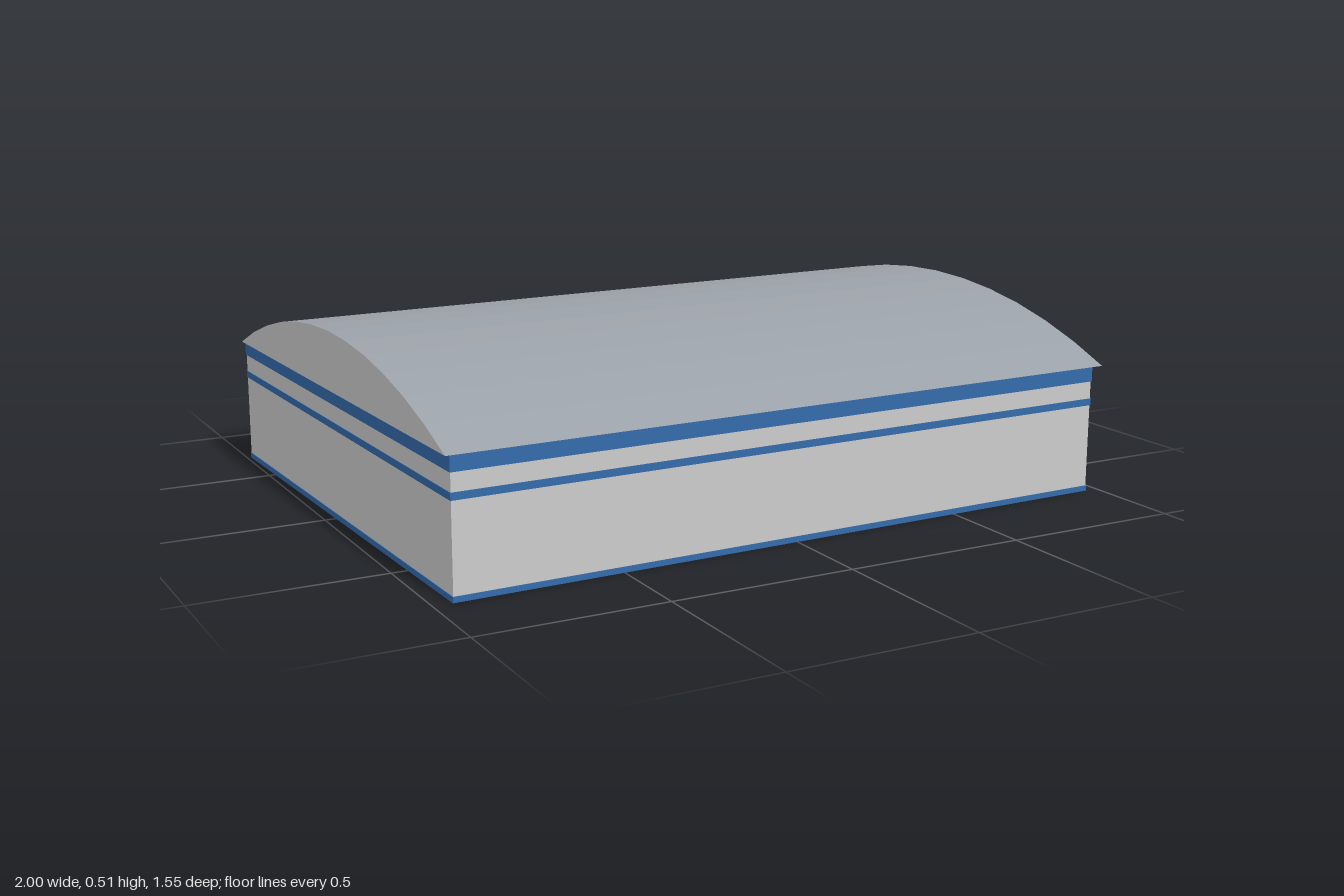
import * as THREE from 'three';

const wallPaint = new THREE.MeshStandardMaterial({ name: 'light grey wall', color: 0xcccccc });
const bluePaint = new THREE.MeshStandardMaterial({ name: 'blue stripe', color: 0x336bab });
const roofPaint = new THREE.MeshStandardMaterial({ name: 'roof grey', color: 0x9ba1a8 });
const ventPaint = new THREE.MeshStandardMaterial({ name: 'vent grey', color: 0x9c9c9c });

const X0 = -0.97, X1 = 0.945, HALF_DEPTH = 0.75; // wall footprint
const EAVE = 0.352, RISE = 0.16, HALF_ROOF = 0.98;
const THICK = 0.006;

function rectangle(PathType, inset) {
  const x0 = X0 + inset, x1 = X1 - inset, z = HALF_DEPTH - inset;
  const path = new PathType();
  path.moveTo(x0, -z).lineTo(x1, -z).lineTo(x1, z).lineTo(x0, z).closePath();
  return path;
}

// Rectangular ring running round the building between two heights
function ring(name, y0, y1, inset, thickness, material) {
  const shape = rectangle(THREE.Shape, inset);
  shape.holes.push(rectangle(THREE.Path, inset + thickness));
  const geo = new THREE.ExtrudeGeometry(shape, { depth: y1 - y0, bevelEnabled: false });
  geo.rotateX(-Math.PI / 2).translate(0, y0, 0);
  const mesh = new THREE.Mesh(geo, material);
  mesh.name = name;
  return mesh;
}

// Barrel roof: a circular segment extruded along the hall, with grey gables
function barrelRoof() {
  const radius = (HALF_DEPTH ** 2 + RISE ** 2) / (2 * RISE);
  const half = Math.asin(HALF_DEPTH / radius);
  const points = [];
  const segments = 12;
  for (let i = 0; i <= segments; i++) {
    const a = half * (1 - 2 * i / segments);
    points.push(new THREE.Vector2(radius * Math.sin(a), RISE - radius * (1 - Math.cos(a))));
  }
  const geo = new THREE.ExtrudeGeometry(new THREE.Shape(points), {
    depth: 2 * HALF_ROOF, bevelEnabled: false,
  });
  geo.translate(0, EAVE, -HALF_ROOF).rotateY(Math.PI / 2);
  const mesh = new THREE.Mesh(geo, [wallPaint, roofPaint]);
  mesh.name = 'barrelRoof';
  return mesh;
}

// Small plates high on the inner faces of the walls, one per bay
function innerVents() {
  const group = new THREE.Group();
  group.name = 'innerVents';
  const plate = new THREE.BoxGeometry(0.035, 0.045, 0.008);
  const add = (x, z, turn) => {
    const vent = new THREE.Mesh(plate, ventPaint);
    vent.name = 'vent';
    vent.position.set(x, 0.286, z);
    vent.rotation.y = turn;
    group.add(vent);
  };
  const inset = THICK + 0.003;
  for (const side of [-1, 1]) {
    for (let i = 0; i < 8; i++) {
      add(X0 + (X1 - X0) * (i + 0.5) / 8, side * (HALF_DEPTH - inset), 0);
    }
    for (let i = 0; i < 6; i++) {
      const x = side > 0 ? X1 - inset : X0 + inset;
      add(x, HALF_DEPTH * (2 * (i + 0.5) / 6 - 1), Math.PI / 2);
    }
  }
  return group;
}

export function createModel() {
  const model = new THREE.Group();
  model.name = 'hall';

  const hall = new THREE.Group();
  hall.name = 'building';
  hall.rotation.y = 0.0255;
  hall.add(ring('walls', 0, EAVE, 0.002, THICK - 0.002, wallPaint));

  // Stripes stand slightly proud of the walls
  for (const [name, y0, y1] of [
    ['baseStripe', 0, 0.015],
    ['middleStripe', 0.245, 0.264],
    ['eaveStripe', 0.312, EAVE],
  ]) {
    hall.add(ring(name, y0, y1, 0, 0.002, bluePaint));
  }

  hall.add(barrelRoof(), innerVents());
  model.add(hall);
  return model;
}
